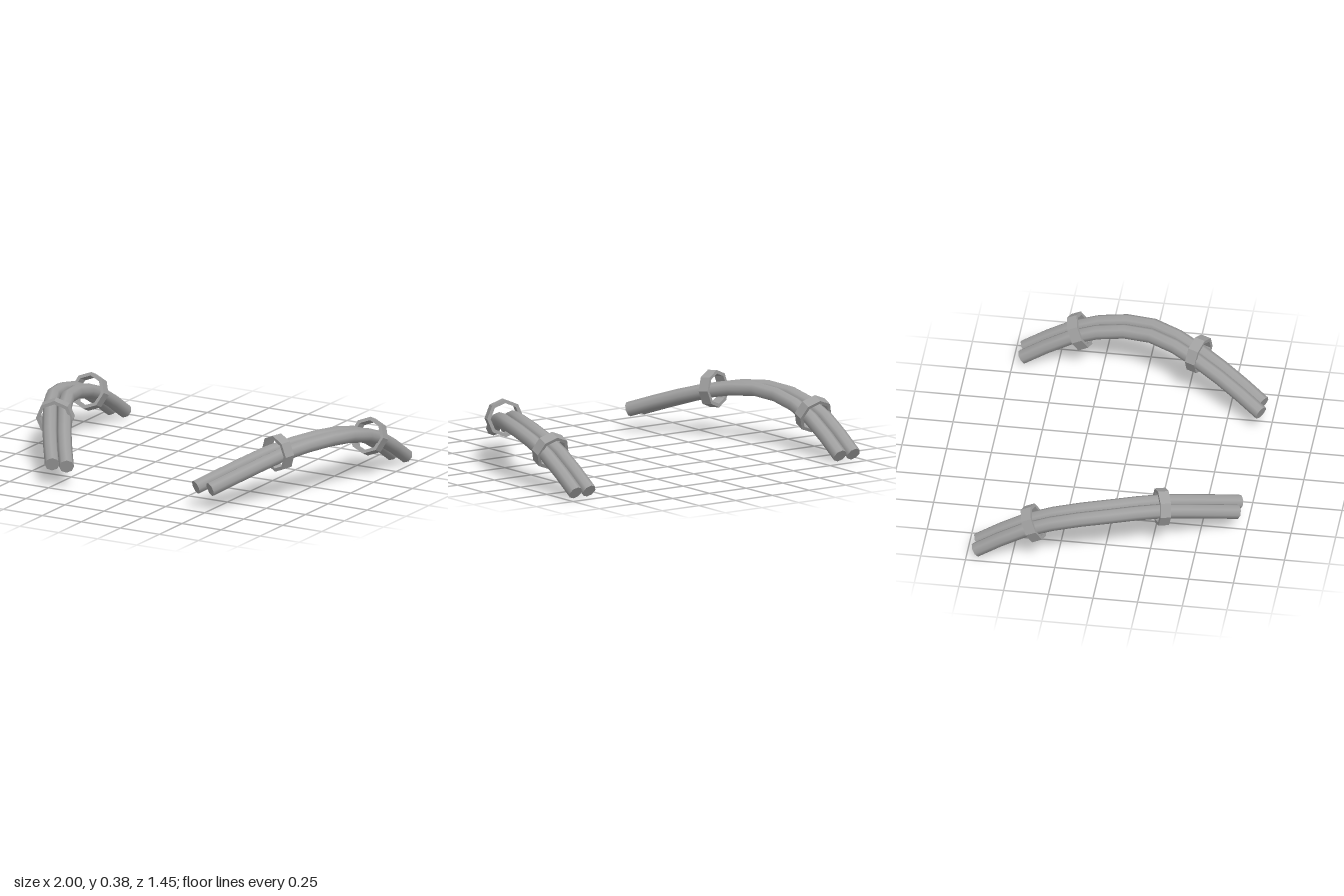
import * as THREE from 'three';

const SIDES = 8, STEPS = 10, RADIUS = 0.041, SPACING = 0.092;

// Centre line of one pair of pipes, front to back, on the +x side
const PATH = [
  [0.46, 0.122, 0.70], [0.59, 0.2, 0.5], [0.70, 0.262, 0.31], [0.79, 0.293, 0.15],
  [0.853, 0.3, 0.0], [0.888, 0.275, -0.2], [0.898, 0.212, -0.4], [0.9, 0.125, -0.56], [0.9, 0.034, -0.70],
];

// Flat fan that closes one end of a tube
function capGeometry(tube, centre, ring, reverse) {
  const p = tube.attributes.position, start = ring * (SIDES + 1), pos = [];
  const corner = (j) => new THREE.Vector3().fromBufferAttribute(p, start + j).toArray();
  for (let j = 0; j < SIDES; j++) {
    const [a, b] = reverse ? [j + 1, j] : [j, j + 1];
    pos.push(...centre.toArray(), ...corner(a), ...corner(b));
  }
  const g = new THREE.BufferGeometry();
  g.setAttribute('position', new THREE.Float32BufferAttribute(pos, 3));
  g.computeVertexNormals();
  return g;
}

// Capped pipe shifted sideways from the centre line
function makePipe(name, side, shift, material) {
  const pts = PATH.map(([x, y, z]) => new THREE.Vector3(side * (x + shift), y, z));
  const curve = new THREE.CatmullRomCurve3(pts);
  const tube = new THREE.TubeGeometry(curve, STEPS, RADIUS, SIDES, false);
  const pipe = new THREE.Group();
  pipe.name = name;
  const add = (geometry, part) => {
    const mesh = new THREE.Mesh(geometry, material);
    mesh.name = part;
    pipe.add(mesh);
  };
  add(tube, 'pipeBody');
  add(capGeometry(tube, pts[0], 0, false), 'frontCap');
  add(capGeometry(tube, pts[pts.length - 1], STEPS, true), 'backCap');
  return pipe;
}

// Eight-sided band with a hole, centred on its own axis z
function bandGeometry() {
  const octagon = (r) => Array.from({ length: 8 }, (_, i) =>
    new THREE.Vector2(r * Math.cos(i * Math.PI / 4), r * Math.sin(i * Math.PI / 4)));
  const shape = new THREE.Shape(octagon(0.105));
  shape.holes.push(new THREE.Path(octagon(0.085)));
  return new THREE.ExtrudeGeometry(shape, { depth: 0.06, bevelEnabled: false }).translate(0, 0, -0.03);
}

export function createModel() {
  const model = new THREE.Group();
  model.name = 'pipePairs';
  const grey = new THREE.MeshStandardMaterial({ color: 0xa0a0a0 });
  grey.name = 'grey';
  const band = bandGeometry();

  for (const side of [1, -1]) {
    const pair = new THREE.Group();
    pair.name = side > 0 ? 'leftPair' : 'rightPair';
    pair.add(makePipe('innerPipe', side, -SPACING / 2, grey));
    pair.add(makePipe('outerPipe', side, SPACING / 2, grey));

    // Clamping bands: position, pitch and yaw
    for (const [name, x, y, z, pitch, yaw] of [
      ['frontBand', 0.713, 0.268, 0.308, 0.08, -0.36],
      ['backBand', 0.895, 0.217, -0.385, -0.43, 0],
    ]) {
      const mesh = new THREE.Mesh(band, grey);
      mesh.name = name;
      mesh.position.set(side * x, y, z);
      mesh.rotation.set(pitch, side * yaw, 0, 'YXZ');
      pair.add(mesh);
    }
    model.add(pair);
  }
  return model;
}
